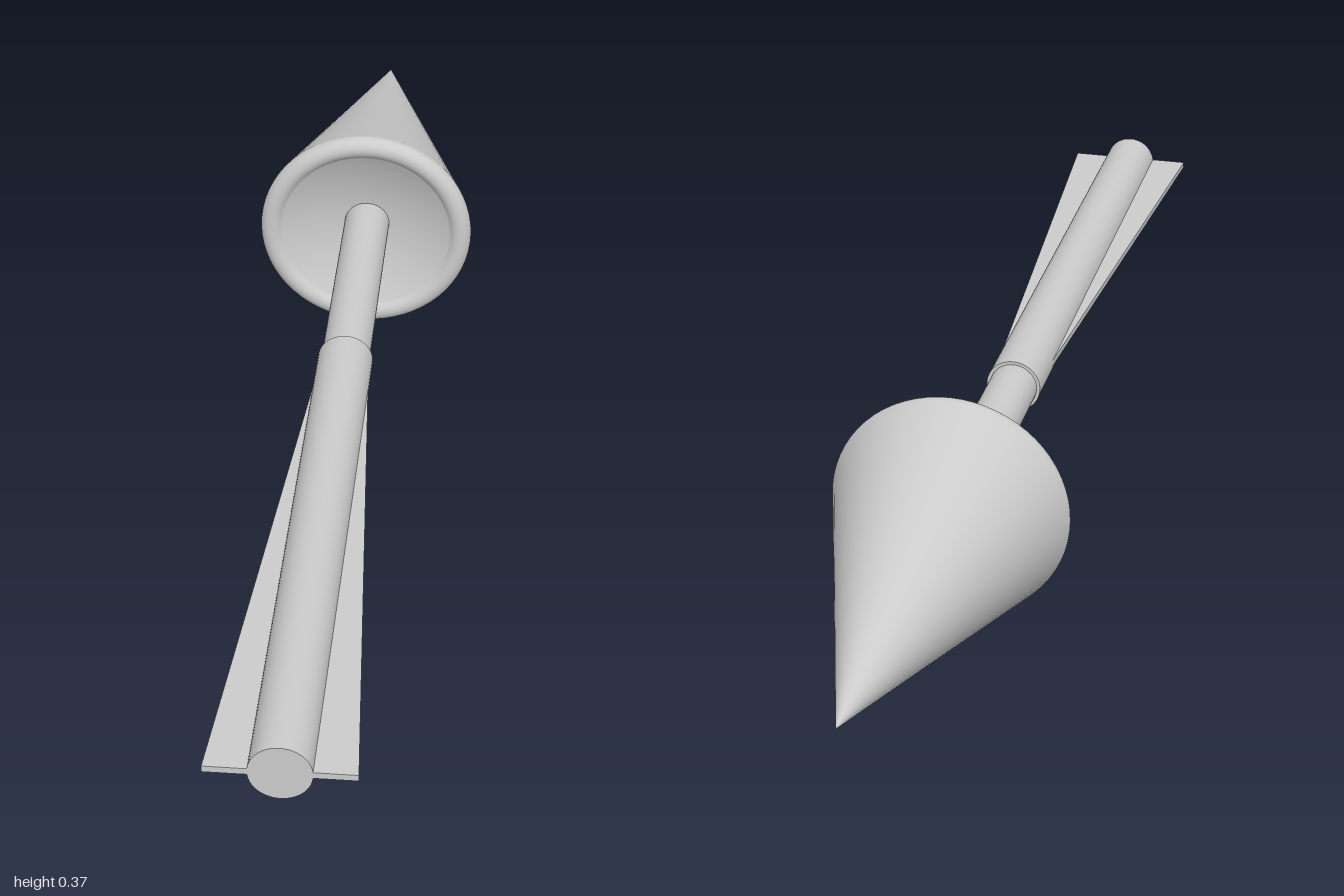
import * as THREE from 'three';

const AXIS_Y = 0.184;

export function createModel() {
  const group = new THREE.Group();
  const material = new THREE.MeshStandardMaterial({ color: 0xcccccc });

  const add = (name, geometry) => {
    const mesh = new THREE.Mesh(geometry, material);
    mesh.name = name;
    mesh.position.y = AXIS_Y;
    group.add(mesh);
  };

  // Round rod along z between two depths
  const rod = (radius, zBack, zFront) =>
    new THREE.CylinderGeometry(radius, radius, zFront - zBack, 48)
      .rotateX(Math.PI / 2)
      .translate(0, 0, (zBack + zFront) / 2);

  // Head: shallow dished base, rounded rim and straight cone to the tip
  const profile = [];
  for (let i = 0; i <= 6; i++) {
    const t = i / 6;
    profile.push(new THREE.Vector2(0.146 * t, 0.425 - 0.033 * t * t));
  }
  for (let i = 0; i <= 12; i++) {
    const a = THREE.MathUtils.degToRad(-145 + (162 * i) / 12);
    profile.push(new THREE.Vector2(0.165 + 0.019 * Math.cos(a), 0.4 + 0.019 * Math.sin(a)));
  }
  for (let i = 1; i <= 6; i++) {
    const t = i / 6;
    profile.push(new THREE.Vector2(0.183 * (1 - t), 0.4056 + 0.5944 * t));
  }
  add('head', new THREE.LatheGeometry(profile, 64).rotateX(-Math.PI / 2));

  // Shaft and the thicker rear sleeve
  add('shaft', rod(0.039, -0.45, 0.05));
  add('rearSleeve', rod(0.0445, 0.01, 1));

  // Flat fins tapering out of the sleeve towards the rear
  for (const side of [1, -1]) {
    const outline = new THREE.Shape([
      new THREE.Vector2(0, -0.01),
      new THREE.Vector2(side * 0.038, -0.01),
      new THREE.Vector2(side * 0.105, -1),
      new THREE.Vector2(0, -1),
    ]);
    const fin = new THREE.ExtrudeGeometry(outline, { depth: 0.01, bevelEnabled: false })
      .translate(0, 0, -0.005)
      .rotateX(-Math.PI / 2);
    add(side > 0 ? 'leftFin' : 'rightFin', fin);
  }

  return group;
}
